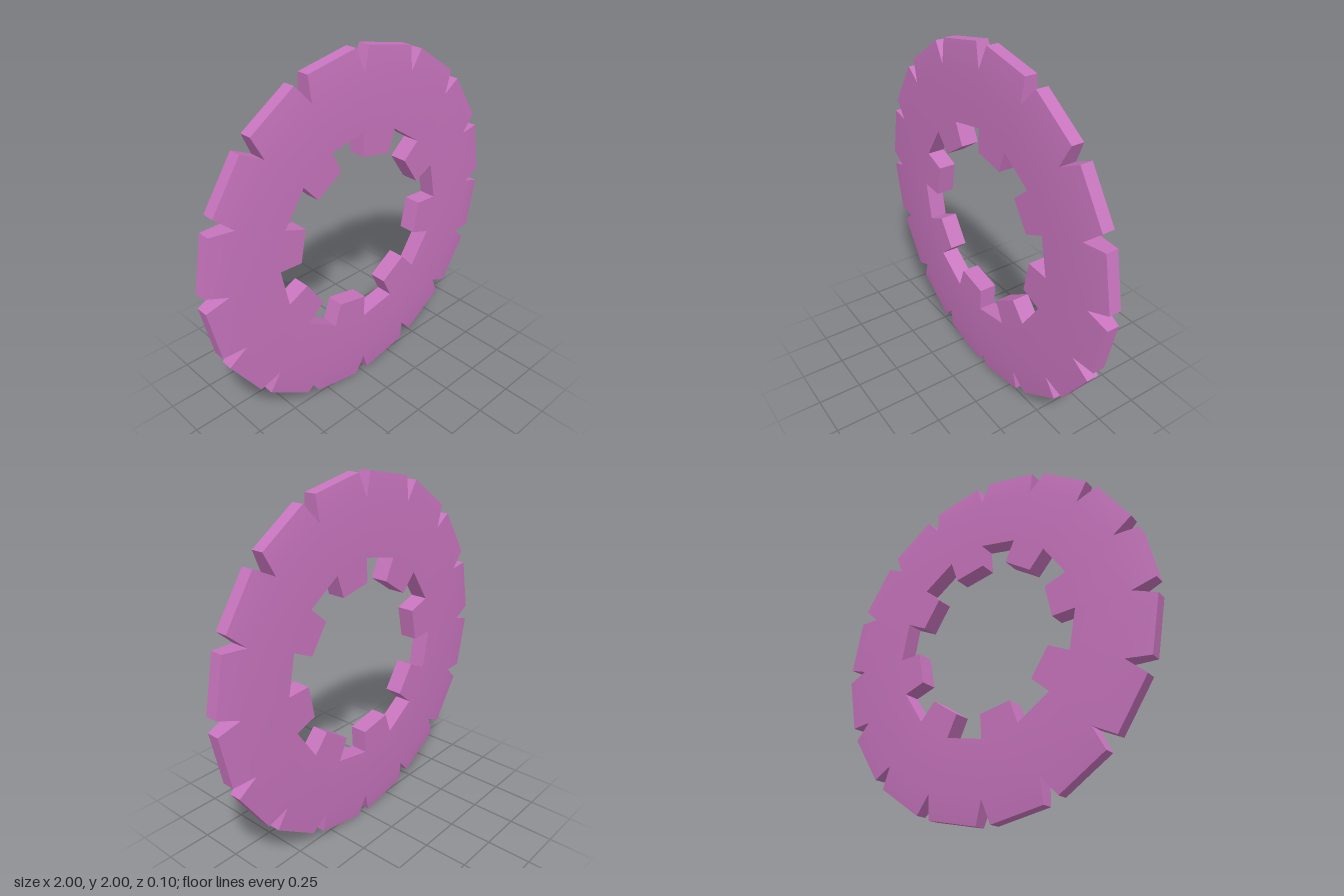
import * as THREE from 'three';
import { toCreasedNormals } from 'three/addons/utils/BufferGeometryUtils.js';

const SECTORS = 16;
const STEP = (Math.PI * 2) / SECTORS;
const HALF = 0.05;      // half thickness of the ring
const TIP_HALF = 0.034; // half thickness at the outer tooth tips
const NOTCH = 0.043;    // half angle of the outer V notches
const FLARE = 0.017;    // how far the inner teeth widen at their ends

const polar = (r, a, h = HALF) => ({ x: r * Math.cos(a), y: r * Math.sin(a), h });

function ringGeometry() {
  const pos = [];
  const quad = (a, b, c, d) => pos.push(...a, ...b, ...c, ...a, ...c, ...d);
  const front = (p) => [p.x, p.y, p.h];
  const back = (p) => [p.x, p.y, -p.h];

  // front and back faces of one four-cornered patch
  const plate = (a, b, c, d) => {
    quad(front(a), front(b), front(c), front(d));
    quad(back(d), back(c), back(b), back(a));
  };
  // edge walls along a path, solid on the left
  const walls = (...path) => {
    for (let i = 0; i < path.length - 1; i++) {
      const p = path[i], q = path[i + 1];
      quad(back(p), back(q), front(q), front(p));
    }
  };

  for (let k = 0; k < SECTORS; k++) {
    const a0 = k * STEP, a1 = a0 + STEP;
    const in0 = polar(0.573, a0), in1 = polar(0.573, a1);
    const root0 = polar(0.875, a0), root1 = polar(0.875, a1);
    const tip0 = polar(1.001, a0 + NOTCH, TIP_HALF);
    const tip1 = polar(1.001, a1 - NOTCH, TIP_HALF);

    // ring body and tapered outer tooth
    plate(in0, root0, root1, in1);
    plate(root0, tip0, tip1, root1);
    walls(root0, tip0, tip1, root1);

    // every other sector carries an inner tooth
    if (k % 2) {
      const end0 = polar(0.44, a0 - FLARE), end1 = polar(0.44, a1 + FLARE);
      plate(end0, in0, in1, end1);
      walls(in1, end1, end0, in0);
    } else {
      walls(in1, in0);
    }
  }

  const geometry = new THREE.BufferGeometry();
  geometry.setAttribute('position', new THREE.Float32BufferAttribute(pos, 3));
  return toCreasedNormals(geometry, 0.3);
}

export function createModel() {
  const group = new THREE.Group();
  group.name = 'notchedDisc';
  const ring = new THREE.Mesh(
    ringGeometry(),
    new THREE.MeshStandardMaterial({ color: 0xc774bd })
  );
  ring.name = 'toothedRing';
  ring.position.y = 1;
  group.add(ring);
  return group;
}
